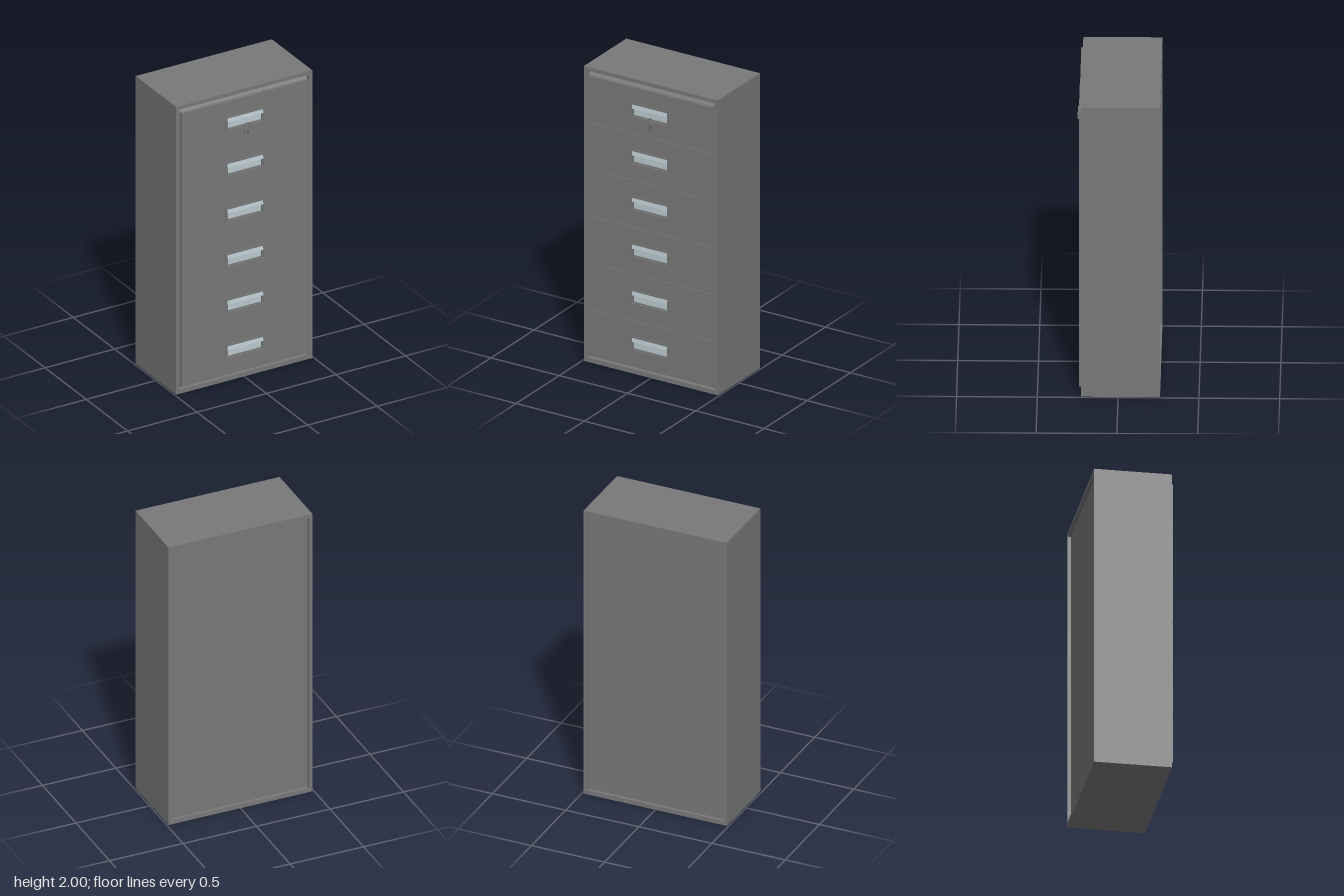
import * as THREE from 'three';

const material = (name, color) => {
  const m = new THREE.MeshStandardMaterial({ color });
  m.name = name;
  return m;
};

// Rectangle as a path, given by its edges
function rect(PathType, x0, y0, x1, y1) {
  const p = new PathType();
  p.moveTo(x0, y0);
  p.lineTo(x1, y0);
  p.lineTo(x1, y1);
  p.lineTo(x0, y1);
  p.closePath();
  return p;
}

// Rectangular plate with a rectangular hole, from z to z + depth
function ring(outer, inner, z, depth) {
  const shape = rect(THREE.Shape, ...outer);
  shape.holes.push(rect(THREE.Path, ...inner));
  return new THREE.ExtrudeGeometry(shape, { depth, bevelEnabled: false }).translate(0, 0, z);
}

function box(x0, y0, z0, x1, y1, z1) {
  return new THREE.BoxGeometry(x1 - x0, y1 - y0, z1 - z0)
    .translate((x0 + x1) / 2, (y0 + y1) / 2, (z0 + z1) / 2);
}

// Profile of [z, y] points extended along x
function prism(points, width) {
  const shape = new THREE.Shape(points.map(([z, y]) => new THREE.Vector2(-z, y)));
  return new THREE.ExtrudeGeometry(shape, { depth: width, bevelEnabled: false })
    .translate(0, 0, -width / 2).rotateY(Math.PI / 2).rotateY(0).scale(1, 1, 1);
}

export function createModel() {
  const steel = material('grey steel', 0x787878);
  const plate = material('pale blue metal', 0xbccad0);
  const dark = material('dark keyhole', 0x333333);

  const model = new THREE.Group();
  model.name = 'drawerCabinet';
  const add = (parent, name, geometry, mat) => {
    const mesh = new THREE.Mesh(geometry, mat);
    mesh.name = name;
    parent.add(mesh);
    return mesh;
  };

  // Case: open frame with a core that leaves recesses at front and back
  add(model, 'caseShell', ring([-0.49, 0, 0.49, 2], [-0.465, 0.03, 0.465, 1.975], -0.26, 0.49), steel);
  add(model, 'caseCore', box(-0.465, 0.03, -0.24, 0.465, 1.975, 0.2), steel);

  // Sloped border behind the drawer fronts
  const border = new THREE.BoxGeometry(0.926, 1.936, 0.025);
  const p = border.attributes.position;
  for (let i = 0; i < p.count; i++) {
    if (p.getZ(i) > 0) p.setXY(i, Math.sign(p.getX(i)) * 0.454, Math.sign(p.getY(i)) * 0.949);
  }
  border.translate(0, 1.001, 0.2125);
  border.computeVertexNormals();
  add(model, 'drawerBorder', border, steel);

  // Six identical drawers, each with a recessed pull
  const pitch = 1.9 / 6, half = pitch / 2 - 0.0015;
  for (let i = 0; i < 6; i++) {
    const drawer = new THREE.Group();
    drawer.name = 'drawer' + (i + 1);
    drawer.position.y = 0.05 + pitch * (i + 0.5);
    model.add(drawer);

    add(drawer, 'drawerFront',
      ring([-0.455, -half, 0.455, half], [-0.13, -0.041, 0.13, 0.041], 0.223, 0.019), steel);
    add(drawer, 'pullFrame',
      ring([-0.14, -0.053, 0.14, 0.053], [-0.13, -0.041, 0.13, 0.041], 0.24, 0.007), steel);
    add(drawer, 'pullBackPlate', box(-0.122, -0.034, 0.222, 0.122, 0.041, 0.231), plate);
    add(drawer, 'pullSurround',
      ring([-0.13, -0.041, 0.13, 0.041], [-0.122, -0.034, 0.122, 0.034], 0.224, 0.014), steel);

    // Overhanging finger lip
    const lip = add(drawer, 'pullLip', new THREE.BoxGeometry(0.256, 0.027, 0.004), plate);
    lip.position.set(0, 0.026, 0.243);
    lip.rotation.x = -0.15;
  }

  // Padlock hanging from the top pull, turned slightly
  const lock = new THREE.Group();
  lock.name = 'padlock';
  lock.position.set(0.012, 1.713, 0.25);
  lock.rotation.y = -0.2;
  model.add(lock);
  add(lock, 'lockBody', new THREE.BoxGeometry(0.044, 0.044, 0.008), steel);
  add(lock, 'lockKeyhole', new THREE.BoxGeometry(0.006, 0.014, 0.002), dark).position.set(0, -0.002, 0.004);
  const path = new THREE.CatmullRomCurve3([
    [-0.014, 0.018], [-0.014, 0.044], [-0.008, 0.055], [0.008, 0.055], [0.014, 0.044], [0.014, 0.018],
  ].map(([x, y]) => new THREE.Vector3(x, y, 0)));
  add(lock, 'lockShackle', new THREE.TubeGeometry(path, 20, 0.004, 8), steel);

  return model;
}
